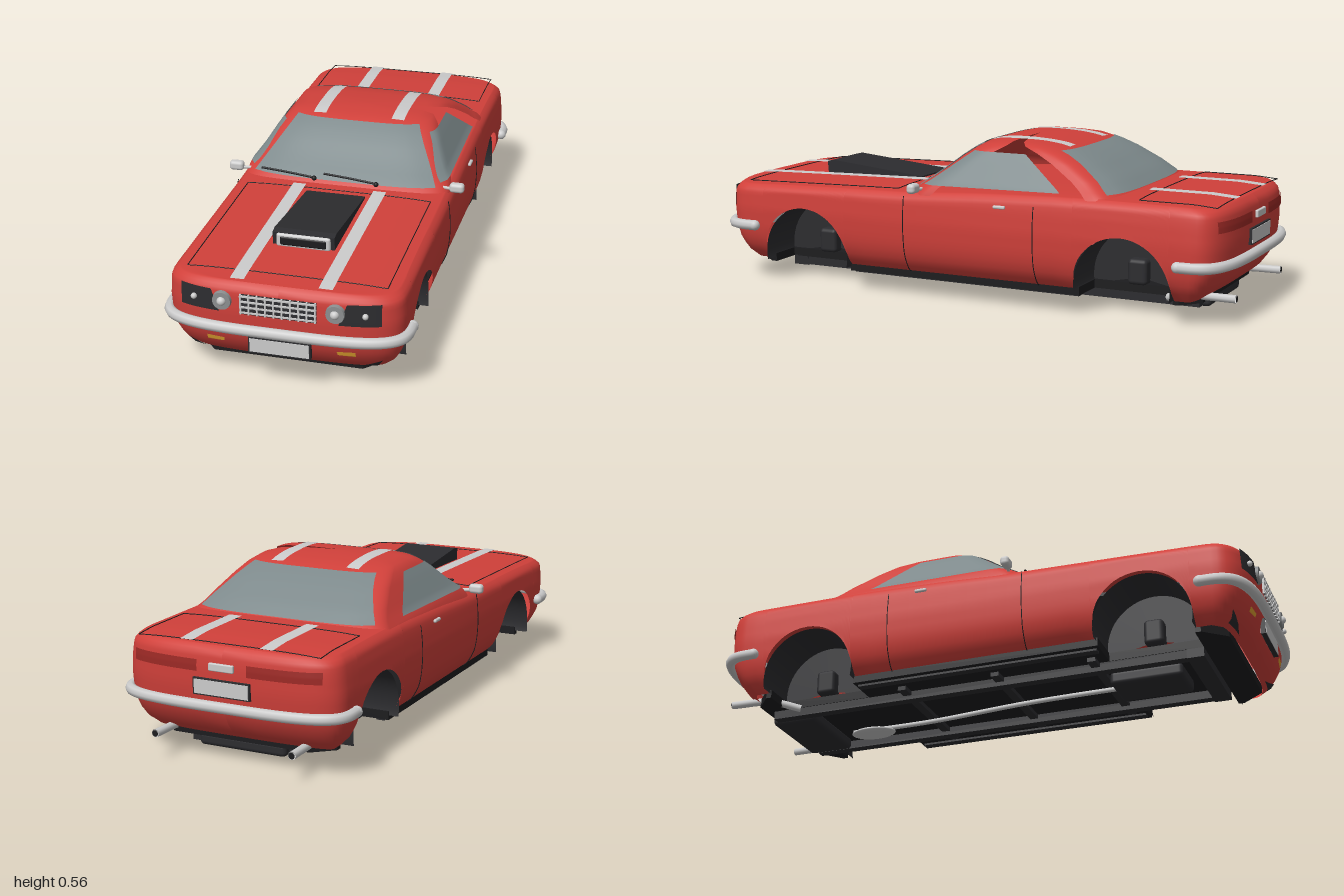
import * as THREE from 'three';
import { RoundedBoxGeometry } from 'three/addons/geometries/RoundedBoxGeometry.js';

const mat = (color) => new THREE.MeshStandardMaterial({ color, side: THREE.DoubleSide });
const PAINT = mat(0xd0403a), GREY = mat(0xcccccc), DARK = mat(0x2c2c2f), GLASS = mat(0x7d898b);
const AMBER = mat(0xe0a030), LAMP = mat(0x9c2925), BLACK = mat(0x1c1c1e);
const V = (x, y, z) => new THREE.Vector3(x, y, z);
const N = 3.6; // squareness of the rounded plan outline

// Rows: height, half width, front z, rear z
const BODY = [[.05, .27, .84, -.82], [.08, .325, .89, -.86], [.1, .35, .92, -.9], [.15, .378, .955, -.94],
  [.2, .388, .97, -.96], [.27, .392, .975, -.968], [.34, .387, .972, -.968], [.42, .375, .962, -.96]];
const CABIN = [[.37, .375, .22, -.63], [.4, .365, .19, -.6], [.42, .345, .16, -.575], [.45, .327, .118, -.535],
  [.5, .297, .055, -.45], [.53, .277, .012, -.385], [.548, .255, -.02, -.33], [.557, .215, -.06, -.27],
  [.562, .12, -.11, -.2], [.563, .001, -.149, -.151]];
const BELT = [[-1, .385], [-.94, .395], [-.85, .402], [-.4, .402], [-.1, .392], [.2, .375], [.6, .366], [.9, .358], [1, .35]];

// Linear interpolation in a table keyed by its first column
function at(table, k) {
  let i = 1;
  while (i < table.length - 1 && table[i][0] < k) i++;
  const a = table[i - 1], b = table[i];
  const t = THREE.MathUtils.clamp((k - a[0]) / (b[0] - a[0]), 0, 1);
  return a.map((v, j) => v + (b[j] - v) * t);
}
const deckY = (x, z) => at(BELT, z)[1] + .012 * (1 - (Math.abs(x) / .4) ** 4);
const round = (r) => Math.max(0, 1 - Math.min(1, Math.abs(r)) ** N) ** (1 / N);
const cabinDepth = (F, R) => Math.min(.12, (F - R) * .4);

// Surface lookups, used to lay details on the body and cabin
function endZ(table, x, y, dir) {
  const [, W, F, R] = at(table, y), end = dir > 0 ? F : R;
  const z0 = table === BODY ? .82 * dir : end - dir * cabinDepth(F, R);
  return z0 + (end - z0) * round(x / W);
}
function cabinX(y, z) {
  const [, W, F, R] = at(CABIN, y), d = cabinDepth(F, R);
  return W * round(Math.max(0, z - F + d, R + d - z) / d);
}
function roofY(x, z) {
  let lo = .37, hi = .563;
  for (let i = 0; i < 24; i++) {
    const y = (lo + hi) / 2, [, , F, R] = at(CABIN, y);
    if (z < F && z > R && Math.abs(x) < cabinX(y, z)) lo = y; else hi = y;
  }
  return lo;
}

// Smooth surface from a point rule over a grid
function grid(nu, nv, f) {
  const pos = [], idx = [];
  for (let i = 0; i <= nu; i++) for (let j = 0; j <= nv; j++) {
    pos.push(...f(i, j));
    if (i < nu && j < nv) {
      const a = i * (nv + 1) + j, b = a + nv + 1;
      idx.push(a, b, a + 1, b, b + 1, a + 1);
    }
  }
  const g = new THREE.BufferGeometry();
  g.setAttribute('position', new THREE.Float32BufferAttribute(pos, 3));
  g.setIndex(idx);
  g.computeVertexNormals();
  return g;
}
// Four-cornered patch laid on a surface rule
const patch = ([a, b, c, d], f) => grid(16, 10, (i, j) => {
  const u = i / 16, v = j / 10;
  const mix = (k) => (a[k] * (1 - u) + b[k] * u) * (1 - v) + (d[k] * (1 - u) + c[k] * u) * v;
  return f(mix(0), mix(1));
});
const rect = (x0, x1, y0, y1) => [[x0, y0], [x1, y0], [x1, y1], [x0, y1]];
const tube = (pts, r, n = 40) => new THREE.TubeGeometry(new THREE.CatmullRomCurve3(pts, false, 'centripetal'), n, r, 8);
const box = (w, h, d) => new THREE.BoxGeometry(w, h, d);

// Lower body: sections from sill to sill over the deck, cut away at the wheel arches
const ARCH_Z = .615, ARCH_Y = .115, ARCH_R = .172;
function bodyGeometry() {
  const cols = [];
  for (let i = 0; i <= 16; i++) cols.push({ dir: 1, th: Math.PI / 2 * (1 - i / 16) });
  const arch = (c) => {
    cols.push({ z: c + ARCH_R + 1e-4 });
    for (let i = 0; i <= 24; i++) {
      const a = Math.PI * i / 24;
      cols.push({ z: c + ARCH_R * Math.cos(a), low: ARCH_Y + ARCH_R * Math.sin(a) });
    }
    cols.push({ z: c - ARCH_R - 1e-4 });
  };
  arch(ARCH_Z);
  for (let i = 1; i < 12; i++) cols.push({ z: .44 - .88 * i / 12 });
  arch(-ARCH_Z);
  for (let i = 0; i <= 16; i++) cols.push({ dir: -1, th: Math.PI / 2 * i / 16 });
  const plan = (c, y) => {
    const [, W, F, R] = at(BODY, y);
    if (!c.dir) return [W, c.z];
    const end = c.dir > 0 ? F : R, z0 = .82 * c.dir;
    return [W * Math.max(0, Math.cos(c.th)) ** (2 / N), z0 + (end - z0) * Math.sin(c.th) ** (2 / N)];
  };
  const side = 16, deck = 8, M = side + deck;
  return grid(cols.length - 1, 2 * M, (i, j) => {
    const c = cols[i], k = M - Math.abs(j - M), s = j < M ? 1 : -1;
    const top = deckY(...plan(c, .36)), low = c.low ?? .08;
    const y = low + (top - low) * (1 - (1 - Math.min(1, k / side)) ** 1.6);
    const inset = .022 * Math.max(0, 1 - (top - y) / .03) ** 2;
    let [x, z] = plan(c, y);
    x *= 1 - 2.5 * inset; z *= 1 - inset;
    if (k <= side) return [s * x, y, z];
    const xi = x * (1 - (k - side) / deck);
    return [s * xi, y + deckY(xi, z) - deckY(x, z), z];
  });
}
// Cabin: stacked rounded outlines
const cabinGeometry = () => grid(96, CABIN.length - 1, (i, j) => {
  const [y, W, F, R] = CABIN[j], d = cabinDepth(F, R), a = i / 96 * Math.PI * 2;
  const co = Math.cos(a), si = Math.sin(a);
  const z = (si >= 0 ? F - d : R + d) + Math.sign(si) * d * Math.abs(si) ** (2 / N);
  return [W * Math.sign(co) * Math.abs(co) ** (2 / N), y, z];
});

export function createModel() {
  const car = new THREE.Group();
  const add = (name, geo, m, x = 0, y = 0, z = 0) => {
    const mesh = new THREE.Mesh(geo, m);
    mesh.name = name;
    mesh.position.set(x, y, z);
    car.add(mesh);
    return mesh;
  };
  const nose = (x, y) => [x, y, endZ(BODY, x, y, 1) + .005];
  const tail = (x, y) => [x, y, endZ(BODY, x, y, -1) - .005];

  add('body', bodyGeometry(), PAINT);
  add('cabin', cabinGeometry(), PAINT);
  add('windscreen', patch([[-.33, .395], [.33, .395], [.225, .545], [-.225, .545]], (x, y) => [x, y + .002, endZ(CABIN, x, y, 1) + .004]), GLASS);
  add('rearWindow', patch([[-.33, .413], [.33, .413], [.235, .538], [-.235, .538]], (x, y) => [x, y + .002, endZ(CABIN, x, y, -1) - .004]), GLASS);

  // Underbody with notches for the wheels
  const floor = new THREE.Shape();
  const half = [[.25, .88], [.32, .8], [.32, .78], [.2, .78], [.2, .45], [.335, .45], [.335, -.45], [.2, -.45], [.2, -.78], [.32, -.78], [.32, -.8], [.25, -.86]];
  floor.setFromPoints([...half, ...half.map(([x, z]) => [-x, z]).reverse()].map(([x, z]) => new THREE.Vector2(x, z)));
  add('floor', new THREE.ExtrudeGeometry(floor, { depth: .03, bevelEnabled: false }).rotateX(Math.PI / 2), BLACK, 0, .095, 0);
  add('frontCrossmember', box(.4, .035, .06), DARK, 0, .05, .75);
  for (const z of [.4, .05, -.3]) add('crossmember', box(.5, .02, .03), DARK, 0, .06, z);
  add('engineSump', new RoundedBoxGeometry(.17, .05, .26, 3, .015), DARK, -.02, .045, .55);
  add('fuelTank', new RoundedBoxGeometry(.32, .045, .17, 3, .015), DARK, 0, .052, -.77);
  add('exhaustPipe', tube([V(-.02, .04, .5), V(-.02, .035, .1), V(0, .025, -.3), V(0, .025, -.6)], .009), GREY);
  add('muffler', new THREE.SphereGeometry(1, 24, 14).scale(.052, .013, .085), GREY, 0, .013, -.52);

  // Parts on both sides
  for (const s of [1, -1]) {
    add('sideWindow', patch([[.14, .405], [-.385, .412], [-.225, .525], [-.022, .525]], (z, y) => [s * (cabinX(y, z) + .004), y + .001, z]), GLASS);
    add('chassisRail', box(.035, .03, 1.6), DARK, s * .18, .05, -.03);
    add('sillRail', box(.03, .025, .88), DARK, s * .3, .07, 0);
    add('exhaustTip', tube([V(s * .2, .06, -.72), V(s * .24, .085, -.82), V(s * .25, .09, -.975)], .014), GREY);
    add('exhaustOpening', new THREE.CircleGeometry(.011, 16).rotateY(Math.PI), BLACK, s * .25, .09, -.977);
    for (const z of [ARCH_Z, -ARCH_Z]) {
      const liner = new THREE.CylinderGeometry(ARCH_R, ARCH_R, .18, 32, 1, true, -.2, Math.PI + .4).rotateZ(Math.PI / 2);
      liner.rotateX(Math.PI / 2 * (new THREE.Box3().setFromBufferAttribute(liner.attributes.position).max.y < ARCH_R - .01 ? -1 : 0));
      add('wheelWell', liner, DARK, s * .28, ARCH_Y, z);
      add('wheelWellWall', new THREE.CircleGeometry(ARCH_R, 32, -.2, Math.PI + .4).rotateY(Math.PI / 2), DARK, s * .19, ARCH_Y, z);
      add('axleMount', new RoundedBoxGeometry(.06, .09, .07, 2, .015), DARK, s * .2, .14, z);
    }
    add('mirror', new RoundedBoxGeometry(.052, .034, .032, 4, .012), GREY, s * .403, .398, .15);
    add('mirrorArm', tube([V(s * .35, .39, .14), V(s * .39, .392, .15)], .006, 4), GREY);
    add('doorHandle', new RoundedBoxGeometry(.012, .012, .045, 2, .005), GREY, s * .39, .355, -.175);
    for (const z of [.2, -.3]) {
      const pts = [.085, .1, .15, .2, .27, .34, .365].map((y) => V(s * at(BODY, y)[1], y, z));
      add('doorGap', tube(pts, .0016), BLACK);
    }
    // Racing stripes on bonnet, roof and boot
    for (const [z0, z1, h] of [[.23, .94, deckY], [-.34, -.04, roofY], [-.94, -.63, deckY]])
      add('stripe', patch(rect(s * .145 - .023, s * .145 + .023, z0, z1), (x, z) => [x, h(x, z) + .003, z]), GREY);
    // Lamps
    add('headlampPanel', patch([[s * .195, .267], [s * .328, .267], [s * .328, .342], [s * .222, .34]], nose), DARK);
    const ring = add('lampRing', new THREE.CylinderGeometry(.03, .032, .014, 28).rotateX(Math.PI / 2), mat(0x8c8f90), s * .185, .305, 0);
    ring.position.z = nose(.185, .305)[2];
    for (const [x, r] of [[.185, .015], [.28, .01]]) add('lamp', new THREE.SphereGeometry(r, 20, 12), GREY, s * x, .305, nose(x, .305)[2] + .005);
    add('indicator', patch([[s * .188, .15], [s * .245, .147], [s * .245, .166], [s * .185, .164]], nose), AMBER);
    add('tailLamp', patch(rect(s * .09, s * .34, .32, .358), tail), LAMP);
    add('frontLipCorner', patch([[s * .2, .087], [s * .3, .09], [s * .325, .125], [s * .26, .098]], nose), DARK);
  }

  // Grille
  add('grille', patch(rect(-.125, .125, .267, .337), nose), DARK);
  for (let i = 0; i <= 9; i++) add('grilleBar', box(.005, .07, .008), GREY, -.122 + i * .0271, .302, .98);
  for (let i = 0; i < 4; i++) add('grilleBar', box(.25, .005, .008), GREY, 0, .274 + i * .0187, .98);

  // Bumpers and number plates
  for (const [dir, end, name] of [[1, .98, 'frontBumper'], [-1, -.975, 'rearBumper']]) {
    const pts = [];
    for (let i = 0; i <= 32; i++) {
      const a = Math.PI * i / 32, c = Math.cos(a);
      pts.push(V(.398 * Math.sign(c) * Math.abs(c) ** (2 / N), .21, dir * .82 + (end - dir * .82) * Math.max(0, Math.sin(a)) ** (2 / N)));
    }
    add(name, tube(pts, .019, 96), GREY);
    for (const s of [1, -1]) add('bumperEnd', new THREE.SphereGeometry(.019, 16, 12), GREY, s * .398, .21, dir * .82);
    const y = dir > 0 ? .156 : .272, z = dir > 0 ? .965 : -.968;
    add('plateFrame', box(.206, .056, .016), DARK, 0, y, z);
    add('plate', box(.196, .047, .02), GREY, 0, y, z);
  }
  add('bootLatch', new RoundedBoxGeometry(.09, .026, .012, 2, .004), GREY, 0, .34, -.972);

  // Bonnet scoop with framed intake
  const wedge = new THREE.Shape([[.28, .37], [.68, .36], [.685, .418], [.66, .424], [.28, .388]].map((p) => new THREE.Vector2(-p[0], p[1])));
  add('scoop', new THREE.ExtrudeGeometry(wedge, { depth: .21, bevelEnabled: false }).rotateY(Math.PI / 2), DARK, -.105, 0, 0);
  add('intakeFrame', new RoundedBoxGeometry(.184, .048, .02, 4, .009), GREY, 0, .393, .682);
  add('intake', new RoundedBoxGeometry(.158, .032, .02, 4, .007), BLACK, 0, .393, .685);

  // Wipers
  for (const [x0, x1] of [[-.3, -.1], [-.07, .125]]) {
    add('wiper', tube([V(x0, .413, .182), V((x0 + x1) / 2, .411, .195), V(x1, .405, .205)], .004, 12), BLACK);
    add('wiperPivot', new THREE.SphereGeometry(.009, 12, 8), BLACK, x1, .403, .205);
  }

  // Panel gaps of bonnet and boot lid
  for (const [z0, z1] of [[.25, .88], [-.93, -.66]]) {
    const line = (a, b) => add('panelGap', tube(Array.from({ length: 13 }, (_, i) => {
      const x = a[0] + (b[0] - a[0]) * i / 12, z = a[1] + (b[1] - a[1]) * i / 12;
      return V(x, deckY(x, z), z);
    }), .0016, 24), BLACK);
    for (const s of [1, -1]) line([s * .33, z0], [s * .33, z1]);
    for (const z of [z0, z1]) line([-.33, z], [.33, z]);
  }
  return car;
}
